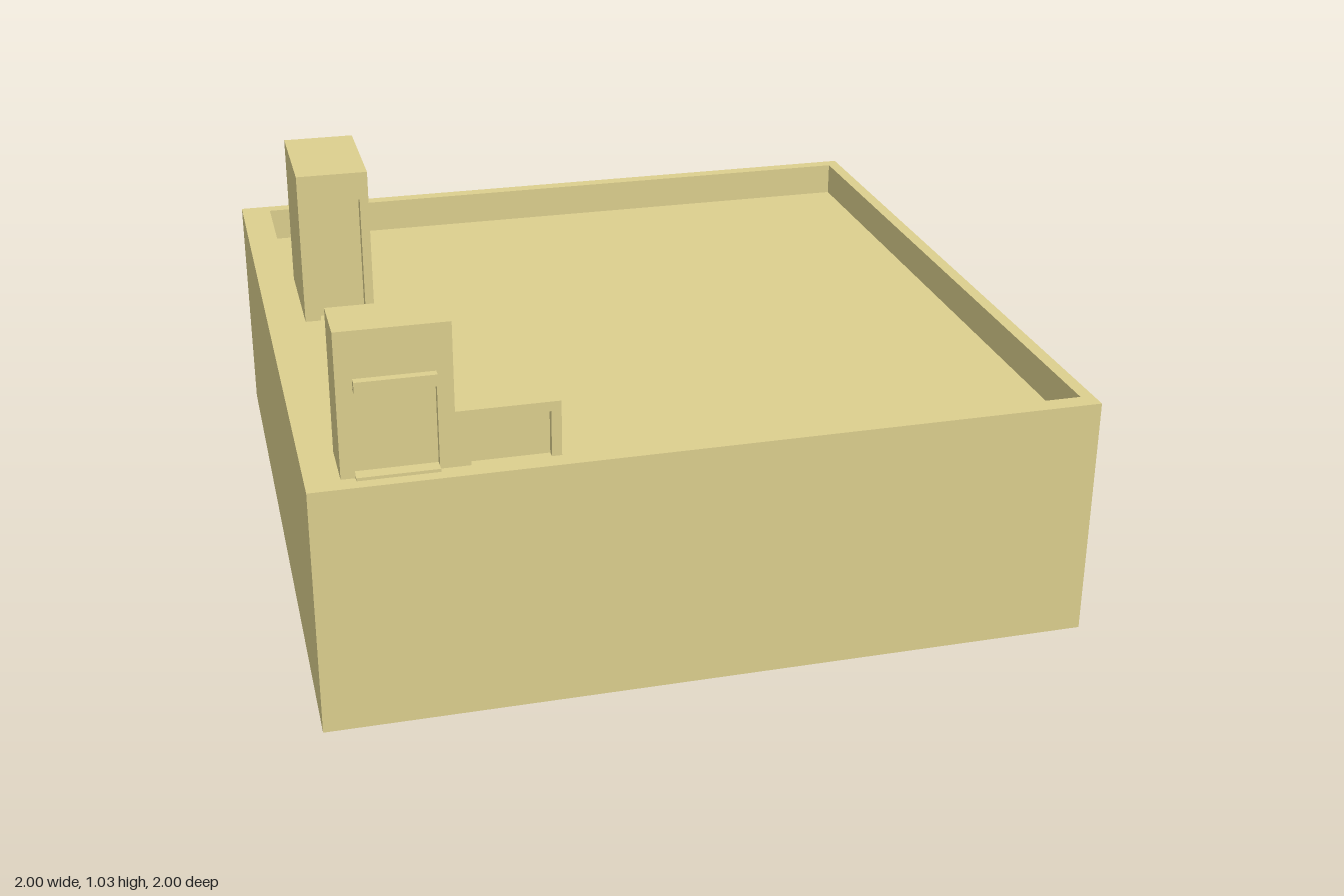
import * as THREE from 'three';

const FLOOR = 0.56, RIM = 0.656;

export function createModel() {
  const model = new THREE.Group();
  const material = new THREE.MeshStandardMaterial({ color: 0xdccf8e });

  function add(name, geometry, parent = model) {
    const mesh = new THREE.Mesh(geometry, material);
    mesh.name = name;
    parent.add(mesh);
    return mesh;
  }

  // Box given by its limits on each axis
  function box(name, [x0, x1], [y0, y1], [z0, z1], parent) {
    const g = new THREE.BoxGeometry(x1 - x0, y1 - y0, z1 - z0);
    g.translate((x0 + x1) / 2, (y0 + y1) / 2, (z0 + z1) / 2);
    return add(name, g, parent);
  }

  function polygon(points) {
    return new THREE.Shape(points.map(([x, y]) => new THREE.Vector2(x, y)));
  }

  // Block whose front has a shallow doorway, open at the bottom
  function doorBlock(name, [x0, x1], [y0, y1], [z0, z1], [d0, d1], doorTop, depth) {
    const group = new THREE.Group();
    group.name = name;
    model.add(group);
    box(name + 'Core', [x0, x1], [y0, y1], [z0, z1 - depth], group);
    const frame = polygon([
      [x0, y0], [d0, y0], [d0, doorTop], [d1, doorTop],
      [d1, y0], [x1, y0], [x1, y1], [x0, y1],
    ]);
    const g = new THREE.ExtrudeGeometry(frame, { depth, bevelEnabled: false });
    g.translate(0, 0, z1 - depth);
    add(name + 'DoorFrame', g, group);
    return group;
  }

  // Main building with a parapet around the sunken roof
  box('buildingBody', [-1, 1], [0, FLOOR], [-1, 1]);
  const rim = polygon([[-1, -1], [1, -1], [1, 1], [-1, 1]]);
  rim.holes.push(polygon([[-0.915, -0.95], [-0.915, 0.96], [0.965, 0.96], [0.965, -0.95]]));
  const parapet = new THREE.ExtrudeGeometry(rim, { depth: RIM - FLOOR, bevelEnabled: false });
  parapet.rotateX(-Math.PI / 2);
  parapet.translate(0, FLOOR, 0);
  add('parapet', parapet);

  // Stepped entrance at the front corner
  const z = [0.80, 0.95];
  box('entranceBase', [-0.915, -0.385], [FLOOR, RIM], z);
  const tower = doorBlock('entranceTower', [-0.915, -0.64], [RIM, 1.03], z, [-0.88, -0.68], 0.885, 0.02);
  doorBlock('entranceAnnex', [-0.64, -0.385], [RIM, 0.80], z, [-0.605, -0.41], 0.775, 0.02);
  box('doorCanopy', [-0.875, -0.68], [0.88, 0.91], [0.93, 0.972], tower);
  box('doorStep', [-0.88, -0.68], [RIM, 0.664], [0.93, 0.967], tower);

  // Free-standing stair house on the roof
  doorBlock('stairHouse', [-0.88, -0.68], [FLOOR, 1.0], [-0.6, -0.25], [-0.835, -0.705], 0.92, 0.035);

  return model;
}
